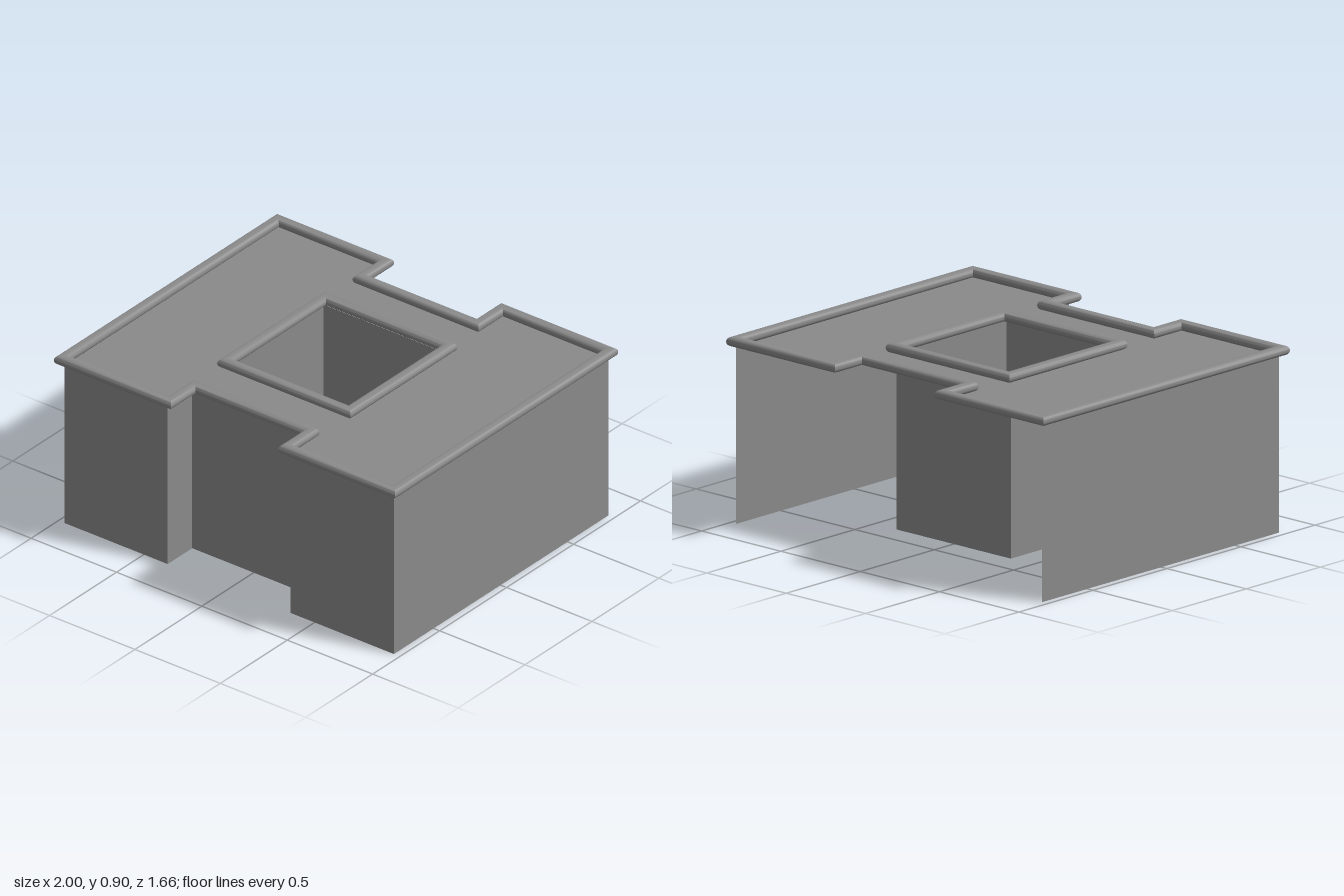
import * as THREE from 'three';
import { toCreasedNormals } from 'three/addons/utils/BufferGeometryUtils.js';

const ROOF_Y = 0.849;
const COPING_Y = 0.873;
const grey = new THREE.MeshStandardMaterial({ color: 0x8a8a8a });
const greyThin = new THREE.MeshStandardMaterial({ color: 0x8a8a8a, side: THREE.DoubleSide });

function geometryFrom(positions) {
  const g = new THREE.BufferGeometry();
  g.setAttribute('position', new THREE.Float32BufferAttribute(positions, 3));
  g.computeVertexNormals();
  return g;
}

function named(name, geometry, material) {
  const mesh = new THREE.Mesh(geometry, material);
  mesh.name = name;
  return mesh;
}

// Thin upright walls along an open [x, z] path, from the ground to the roof
function wallGeometry(path) {
  const p = [];
  for (let i = 0; i < path.length - 1; i++) {
    const [x0, z0] = path[i], [x1, z1] = path[i + 1];
    p.push(x0, 0, z0, x1, ROOF_Y, z1, x1, 0, z1);
    p.push(x0, 0, z0, x0, ROOF_Y, z0, x1, ROOF_Y, z1);
  }
  return geometryFrom(p);
}

// Rounded profile of the coping, as [sideways, up] offsets, counter-clockwise
function copingProfile(halfWidth, halfHeight, radius, steps) {
  const pts = [];
  [[1, 1], [-1, 1], [-1, -1], [1, -1]].forEach(([sx, sy], corner) => {
    for (let k = 0; k <= steps; k++) {
      const a = (corner + k / steps) * Math.PI / 2;
      pts.push([
        sx * (halfWidth - radius) + radius * Math.cos(a),
        sy * (halfHeight - radius) + radius * Math.sin(a),
      ]);
    }
  });
  return pts;
}

// Profile swept round a closed [x, z] loop with mitred corners
function copingGeometry(loop, profile) {
  const n = loop.length;
  const sideways = (i) => {
    const a = loop[i % n], b = loop[(i + 1) % n];
    const dx = b[0] - a[0], dz = b[1] - a[1], len = Math.hypot(dx, dz);
    return [dz / len, -dx / len];
  };
  const rings = loop.map(([x, z], i) => {
    const a = sideways(i + n - 1), b = sideways(i);
    const k = 1 / (1 + a[0] * b[0] + a[1] * b[1]);
    return profile.map(([s, u]) => [
      x + s * k * (a[0] + b[0]), COPING_Y + u, z + s * k * (a[1] + b[1]),
    ]);
  });
  const p = [];
  for (let i = 0; i < n; i++) {
    const r0 = rings[i], r1 = rings[(i + 1) % n];
    for (let j = 0; j < profile.length; j++) {
      const k = (j + 1) % profile.length;
      p.push(...r0[j], ...r0[k], ...r1[k], ...r0[j], ...r1[k], ...r1[j]);
    }
  }
  return toCreasedNormals(geometryFrom(p), 0.7);
}

// Mirrors the +x half of a path to make the whole, symmetric path
const mirrored = (half) => [...half, ...half.map(([x, z]) => [-x, z]).reverse()];

export function createModel() {
  const group = new THREE.Group();
  group.name = 'building';

  // Roof outline with a notch at front and back, and the courtyard opening
  const outline = mirrored([
    [0.341, -0.624], [0.341, -0.806], [0.972, -0.806],
    [0.972, 0.803], [0.341, 0.803], [0.341, 0.619],
  ]);
  const opening = mirrored([[0.362, -0.382], [0.362, 0.36]]);

  // Flat roof, level with the underside of the coping
  const toShape = (pts) => pts.map(([x, z]) => new THREE.Vector2(x, -z));
  const shape = new THREE.Shape(toShape(outline));
  shape.holes.push(new THREE.Path(toShape(opening)));
  const roof = new THREE.ShapeGeometry(shape);
  roof.rotateX(-Math.PI / 2).translate(0, ROOF_Y, 0);
  group.add(named('roof', roof, greyThin));

  // Rounded coping round the roof edge and the courtyard
  const profile = copingProfile(0.028, 0.023, 0.021, 5);
  group.add(named('roofCoping', copingGeometry(outline, profile), grey));
  group.add(named('courtyardCoping', copingGeometry(opening, profile), grey));

  // Outer walls: sides and recessed front, open at the back
  group.add(named('outerWalls', wallGeometry(mirrored([
    [0.965, -0.805], [0.965, 0.796], [0.36, 0.796], [0.36, 0.613],
  ])), greyThin));

  // Courtyard walls: sides and back, open towards the front
  group.add(named('courtyardWalls', wallGeometry([
    [0.36, 0.375], [0.36, -0.368], [-0.36, -0.368], [-0.36, 0.375],
  ]), greyThin));

  return group;
}
